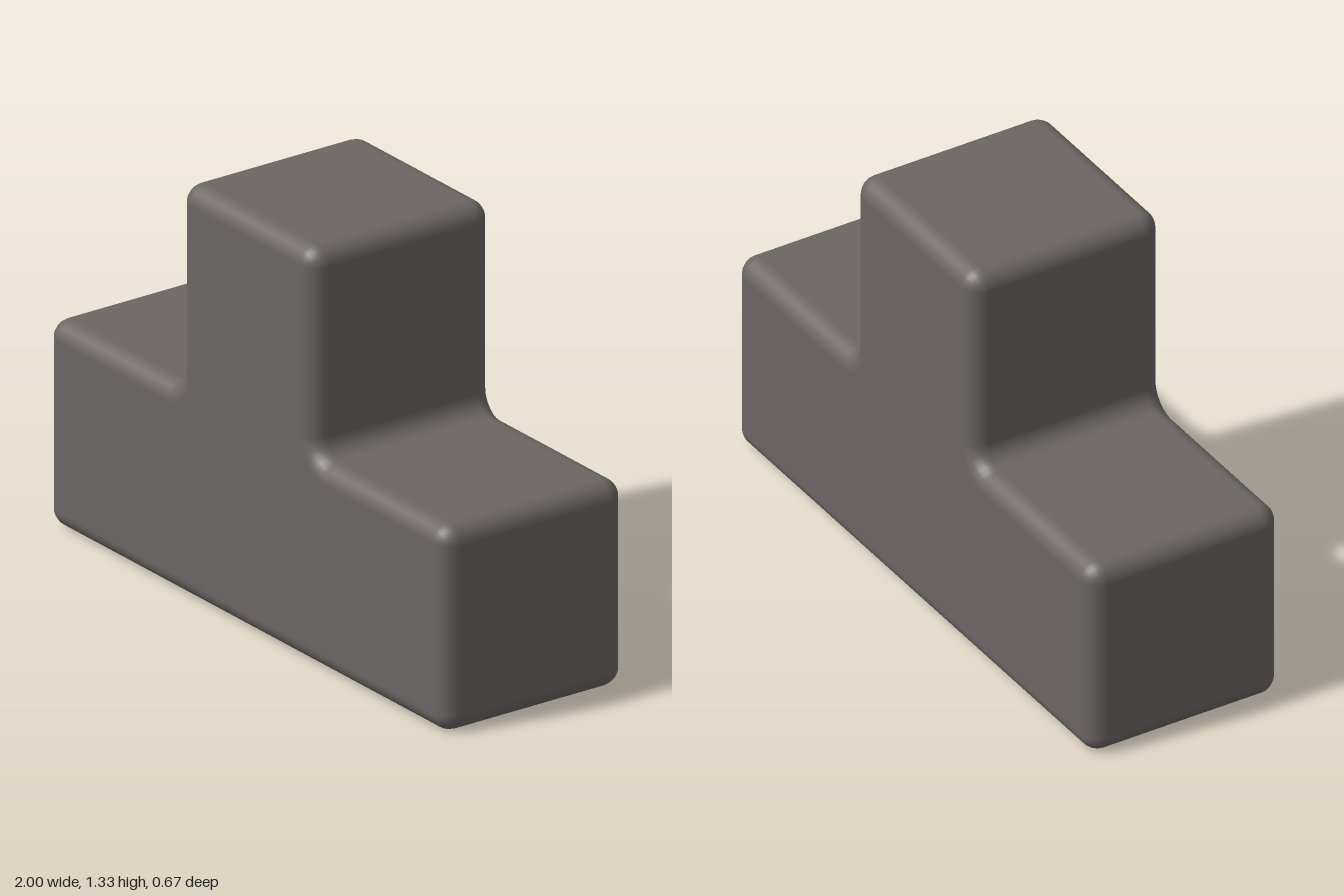
import * as THREE from 'three';

const U = 1 / 3;       // half of one cube unit
const R = 0.06;        // edge rounding radius
const STEPS = 6;       // segments per rounded edge

// T outline, counter-clockwise: x, y, turn (1 = outer corner, -1 = inner corner)
const CORNERS = [
  [-1, 0, 1], [1, 0, 1], [1, 2 * U, 1], [U, 2 * U, -1],
  [U, 4 * U, 1], [-U, 4 * U, 1], [-U, 2 * U, -1], [-1, 2 * U, 1],
];

// Rounded outline shrunk by `inset`; each entry holds a point and its outward normal
function outline(inset) {
  const points = [];
  let angle = Math.PI;
  for (const [x, y, turn] of CORNERS) {
    const end = angle + turn * Math.PI / 2;
    const cx = x - turn * R * (Math.cos(angle) + Math.cos(end));
    const cy = y - turn * R * (Math.sin(angle) + Math.sin(end));
    for (let i = 0; i <= STEPS; i++) {
      const a = angle + (end - angle) * i / STEPS;
      const nx = Math.cos(a), ny = Math.sin(a);
      const k = turn * R - inset;
      points.push({ x: cx + nx * k, y: cy + ny * k, nx, ny });
    }
    angle = end;
  }
  return points;
}

function roundedTee() {
  const position = [], normal = [], index = [];
  const count = CORNERS.length * (STEPS + 1);

  // Rings from the back cap, over both rounded rims, to the front cap
  for (const side of [-1, 1]) {
    for (let s = 0; s <= STEPS; s++) {
      const a = (side < 0 ? s - STEPS : s) / STEPS * Math.PI / 2;
      const z = side * (U - R) + R * Math.sin(a);
      for (const p of outline(R * (1 - Math.cos(a)))) {
        position.push(p.x, p.y, z);
        normal.push(p.nx * Math.cos(a), p.ny * Math.cos(a), Math.sin(a));
      }
    }
  }
  const rings = 2 * (STEPS + 1);
  for (let j = 0; j < rings - 1; j++) {
    for (let i = 0; i < count; i++) {
      const a = j * count + i, b = j * count + (i + 1) % count;
      index.push(a, b, b + count, a, b + count, a + count);
    }
  }

  // Flat front and back caps
  const cap = outline(R).map(p => new THREE.Vector2(p.x, p.y));
  const front = (rings - 1) * count;
  for (const [a, b, c] of THREE.ShapeUtils.triangulateShape(cap, [])) {
    index.push(front + a, front + b, front + c, a, c, b);
  }

  const geometry = new THREE.BufferGeometry();
  geometry.setAttribute('position', new THREE.Float32BufferAttribute(position, 3));
  geometry.setAttribute('normal', new THREE.Float32BufferAttribute(normal, 3));
  geometry.setIndex(index);
  return geometry;
}

export function createModel() {
  const group = new THREE.Group();
  group.name = 'teeBlock';
  const warmGrey = new THREE.MeshStandardMaterial({ color: 0x6b6664 });
  warmGrey.name = 'warmGrey';
  const body = new THREE.Mesh(roundedTee(), warmGrey);
  body.name = 'body';
  group.add(body);
  return group;
}
